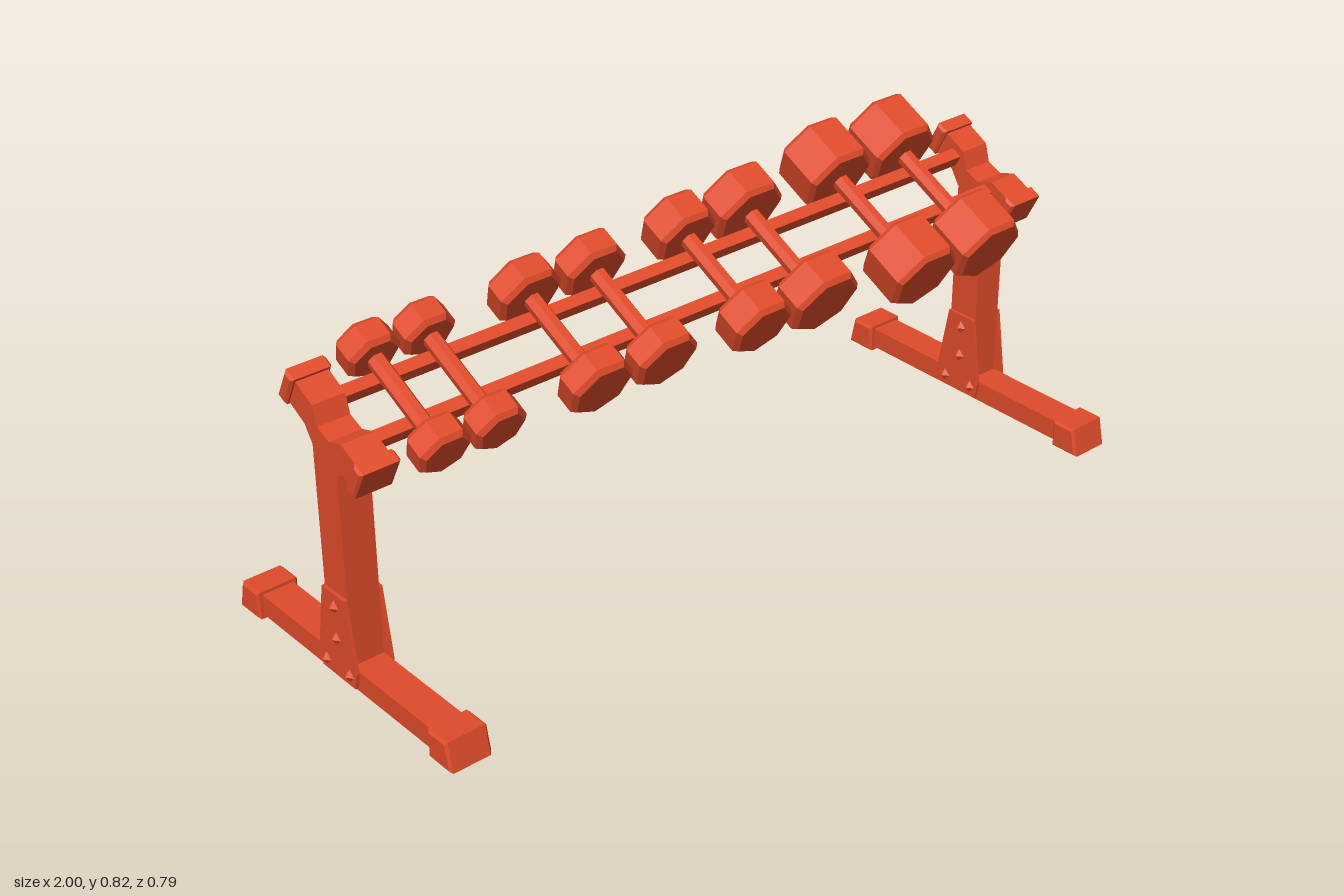
import * as THREE from 'three';

const TILT = Math.atan2(0.45, 0.893);

function material() {
  return new THREE.MeshStandardMaterial({ color: 0xe04b2b, flatShading: true });
}

export function createModel() {
  const model = new THREE.Group();
  model.name = 'dumbbellRack';
  const mat = material();

  const add = (parent, name, geo, x = 0, y = 0, z = 0) => {
    const m = new THREE.Mesh(geo, mat);
    m.name = name;
    m.position.set(x, y, z);
    parent.add(m);
    return m;
  };

  // Extrude a (z, y) outline along x, centred on x = 0, with an optional chamfer
  const slab = (points, width, chamfer = 0) => {
    const shape = new THREE.Shape(points.map(([z, y]) => new THREE.Vector2(z, y)));
    const depth = width - 2 * chamfer;
    const geo = new THREE.ExtrudeGeometry(shape, {
      depth, bevelEnabled: chamfer > 0, bevelSegments: 1,
      bevelSize: chamfer, bevelThickness: chamfer, bevelOffset: -chamfer,
    });
    return geo.translate(0, 0, -depth / 2).rotateY(-Math.PI / 2);
  };

  // Upright with its forked top
  const uprightOutline = [
    [0.033, 0.02], [0.033, 0.531], [0.055, 0.545], [0.092, 0.526], [0.122, 0.586],
    [0.057, 0.617], [0.013, 0.603], [-0.027, 0.62], [-0.04, 0.665], [-0.11, 0.703],
    [-0.14, 0.643], [-0.075, 0.608], [-0.05, 0.57], [-0.05, 0.02],
  ].reverse();
  const gussetOutline = [
    [0.033, 0.23], [-0.05, 0.23], [-0.08, 0.058], [-0.07, 0.017], [0.052, 0.017], [0.06, 0.058],
  ].reverse();
  const footCapOutline = [[0.318, 0], [0.397, 0], [0.382, 0.07], [0.318, 0.07]];
  const armCapOutline = [[-0.016, -0.04], [0.016, -0.04], [0.016, 0.04], [-0.016, 0.04]];
  const bolts = [[-0.008, 0.197], [-0.008, 0.117], [0.033, 0.043], [-0.053, 0.043]];

  for (const side of [-1, 1]) {
    const stand = new THREE.Group();
    stand.name = side > 0 ? 'leftStand' : 'rightStand';
    stand.position.x = side * 0.94;
    model.add(stand);

    add(stand, 'upright', slab(uprightOutline, 0.08));
    add(stand, 'footBeam', new THREE.BoxGeometry(0.08, 0.052, 0.7), 0, 0.036, 0);

    // Foot caps at both ends of the beam
    for (const end of [0, Math.PI]) {
      add(stand, 'footCap', slab(footCapOutline, 0.106, 0.006)).rotation.y = end;
    }
    // Caps on the fork ends
    for (const [z, y] of [[0.107, 0.556], [-0.125, 0.673]]) {
      add(stand, 'armCap', slab(armCapOutline, 0.1, 0.006), 0, y, z).rotation.x = TILT;
    }
    // Gusset plates and pointed bolts on both faces
    for (const face of [-1, 1]) {
      add(stand, 'gussetPlate', slab(gussetOutline, 0.008), face * 0.044, 0, 0);
      for (const [z, y] of bolts) {
        const cone = new THREE.ConeGeometry(0.016, 0.012, 4).rotateZ(-face * Math.PI / 2);
        add(stand, 'bolt', cone, face * 0.054, y, z);
      }
    }
  }

  // Two tilted rails
  for (const [name, y, z] of [['frontRail', 0.585, 0.041], ['backRail', 0.643, -0.068]]) {
    add(model, name, new THREE.BoxGeometry(1.88, 0.03, 0.03), 0, y, z).rotation.x = TILT;
  }

  // Seven-sided chamfered head, flat on top with a corner at the bottom
  const inner = 0.0995;
  const headGeometry = (radius, length) => {
    const h = length / 2, c = 0.011;
    const profile = [[0, -h], [radius - c, -h], [radius, -h + c], [radius, h - c], [radius - c, h], [0, h]];
    return new THREE.LatheGeometry(profile.map(([r, y]) => new THREE.Vector2(r, y)), 7)
      .rotateX(Math.PI / 2);
  };

  // Dumbbells: x position, head radius, distance from middle to outer face
  const dumbbells = [
    [-0.8, 0.066, 0.168], [-0.66, 0.066, 0.168],
    [-0.396, 0.083, 0.17], [-0.216, 0.083, 0.17],
    [0.047, 0.083, 0.186], [0.236, 0.096, 0.188],
    [0.518, 0.097, 0.2265], [0.732, 0.097, 0.2265],
  ];
  for (const [x, radius, outer] of dumbbells) {
    const bell = new THREE.Group();
    bell.name = 'dumbbell';
    bell.position.set(x, 0.6455, 0.0145);
    bell.rotation.x = TILT;
    model.add(bell);
    add(bell, 'handle', new THREE.CylinderGeometry(0.021, 0.021, 2 * inner + 0.02, 7).rotateX(Math.PI / 2));
    for (const end of [-1, 1]) {
      add(bell, 'head', headGeometry(radius, outer - inner), 0, 0, end * (inner + outer) / 2);
    }
  }

  return model;
}
